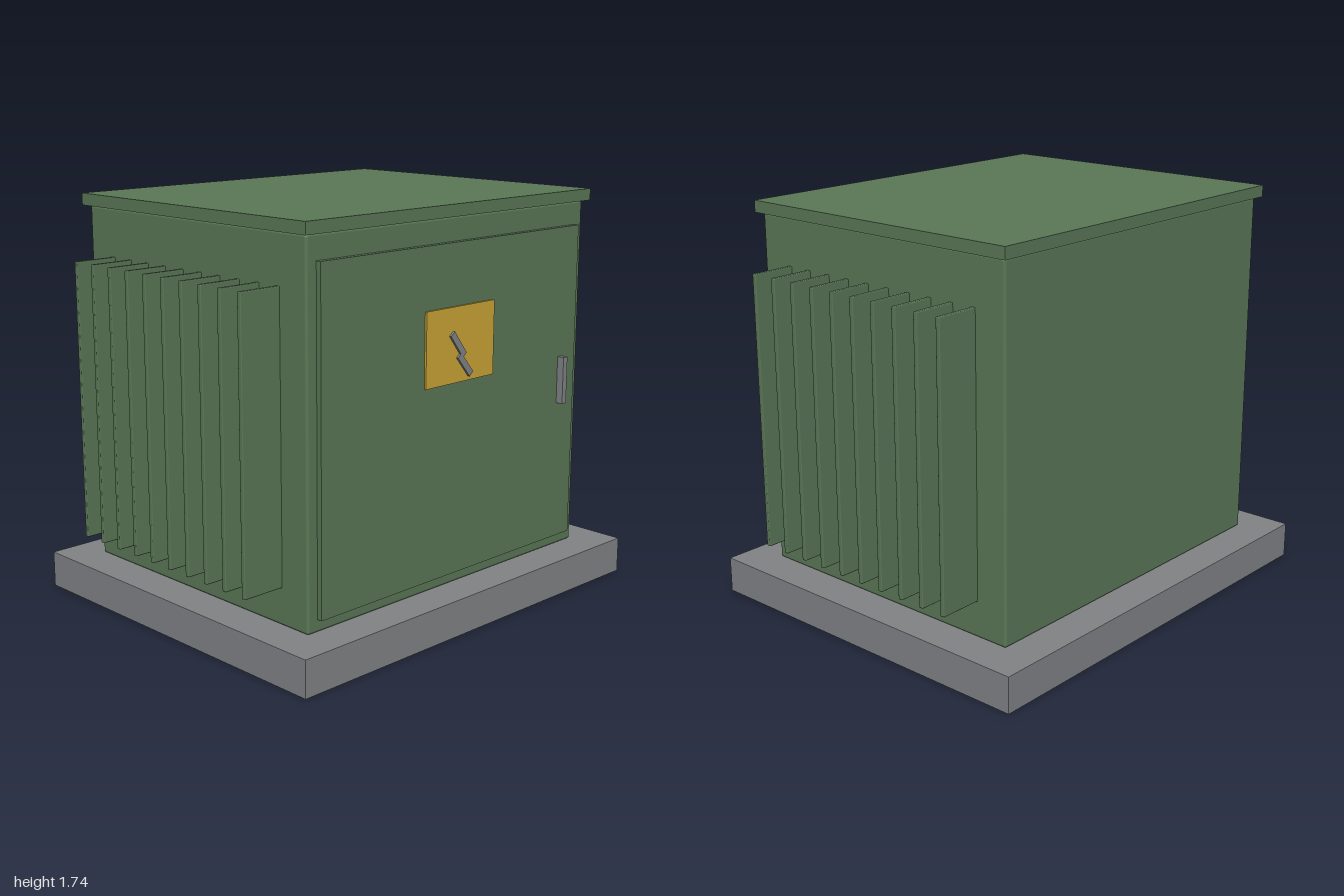
import * as THREE from 'three';
import { RoundedBoxGeometry } from 'three/addons/geometries/RoundedBoxGeometry.js';

const material = (name, color) => {
  const m = new THREE.MeshStandardMaterial({ color });
  m.name = name;
  return m;
};

export function createModel() {
  const model = new THREE.Group();
  model.name = 'transformerCabinet';
  const green = material('cabinet green', 0x5a7656);
  const grey = material('concrete grey', 0x808285);
  const yellow = material('warning yellow', 0xc9a435);

  // Box given by its extents on each axis, optionally with softened edges
  function box(name, mat, [x0, x1], [y0, y1], [z0, z1], radius = 0) {
    const size = [x1 - x0, y1 - y0, z1 - z0];
    const geometry = radius
      ? new RoundedBoxGeometry(...size, 2, radius)
      : new THREE.BoxGeometry(...size);
    const mesh = new THREE.Mesh(geometry, mat);
    mesh.name = name;
    mesh.position.set((x0 + x1) / 2, (y0 + y1) / 2, (z0 + z1) / 2);
    model.add(mesh);
    return mesh;
  }

  // Plinth, cabinet and overhanging lid
  box('plinth', grey, [-0.97, 0.97], [0, 0.155], [-0.815, 0.815]);
  box('cabinet', green, [-0.812, 0.812], [0.155, 1.685], [-0.66, 0.66], 0.012);
  box('lid', green, [-0.836, 0.836], [1.685, 1.735], [-0.683, 0.683]);

  // Door with its handle
  box('door', green, [-0.762, 0.762], [0.208, 1.585], [0.65, 0.683]);
  box('handle', grey, [0.647, 0.674], [0.82, 1.025], [0.68, 0.715]);

  // Warning plate with a two-stroke lightning bolt
  box('warningPlate', yellow, [-0.203, 0.203], [1.02, 1.33], [0.683, 0.692]);
  for (const [x, y, length, angle] of [[-0.022, 1.177, 0.12, -0.91], [0.021, 1.088, 0.112, -0.87]]) {
    const stroke = box('boltStroke', grey, [-length / 2, length / 2], [-0.014, 0.014], [0.69, 0.702]);
    stroke.position.x = x;
    stroke.position.y = y;
    stroke.rotation.z = angle;
  }

  // Ten cooling fins on each side
  for (const side of [-1, 1]) {
    for (let i = 0; i < 10; i++) {
      const z = (i - 4.5) * 0.1125;
      const fin = box('coolingFin', green, [0.8, 1], [0.31, 1.482], [z - 0.01, z + 0.01], 0.004);
      fin.position.x *= side;
    }
  }
  return model;
}
